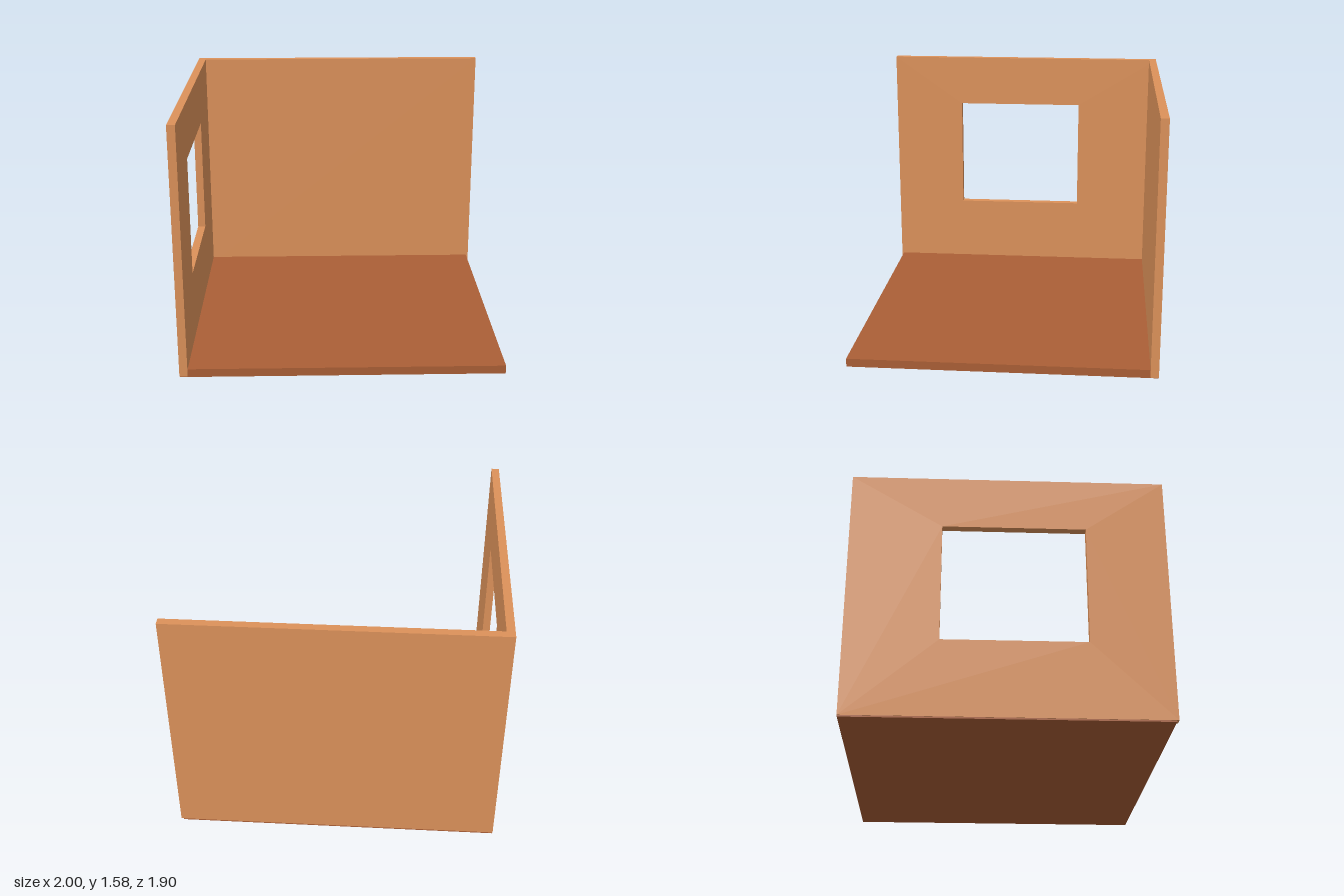
import * as THREE from 'three';

const WALL = new THREE.MeshStandardMaterial({ color: 0xdd925a });
const FLOOR = new THREE.MeshStandardMaterial({ color: 0xab5f36 });

// Box given by its minimum and maximum corners
function block(name, material, min, max) {
  const size = max.map((v, i) => v - min[i]);
  const mesh = new THREE.Mesh(new THREE.BoxGeometry(...size), material);
  mesh.position.set(...max.map((v, i) => (v + min[i]) / 2));
  mesh.name = name;
  return mesh;
}

// Rectangle outline, counter-clockwise
function rectPoints(u0, v0, u1, v1) {
  return [[u0, v0], [u1, v0], [u1, v1], [u0, v1]].map(([u, v]) => new THREE.Vector2(u, v));
}

export function createModel() {
  const model = new THREE.Group();
  model.name = 'roomCorner';
  const t = 0.05, bottom = 0.01, top = 1.58, depth = 0.95;

  // Floor slab, running under the walls and just inside their outer faces
  model.add(block('floor', FLOOR, [-0.998, 0, -0.948], [0.985, 0.052, 0.937]));

  // Solid back wall, butting against the side wall
  model.add(block('backWall', WALL, [-1 + t, bottom, -depth], [1, top, -depth + t]));

  // Side wall with a window opening, drawn in z and y, then turned to face x
  const outline = new THREE.Shape(rectPoints(-depth, bottom, depth, top));
  outline.holes.push(new THREE.Path(rectPoints(-0.397, 0.485, 0.467, 1.24).reverse()));
  const sideWall = new THREE.Mesh(
    new THREE.ExtrudeGeometry(outline, { depth: t, bevelEnabled: false }), WALL);
  sideWall.rotation.y = -Math.PI / 2;
  sideWall.position.x = -1 + t;
  sideWall.name = 'windowWall';
  model.add(sideWall);

  return model;
}
